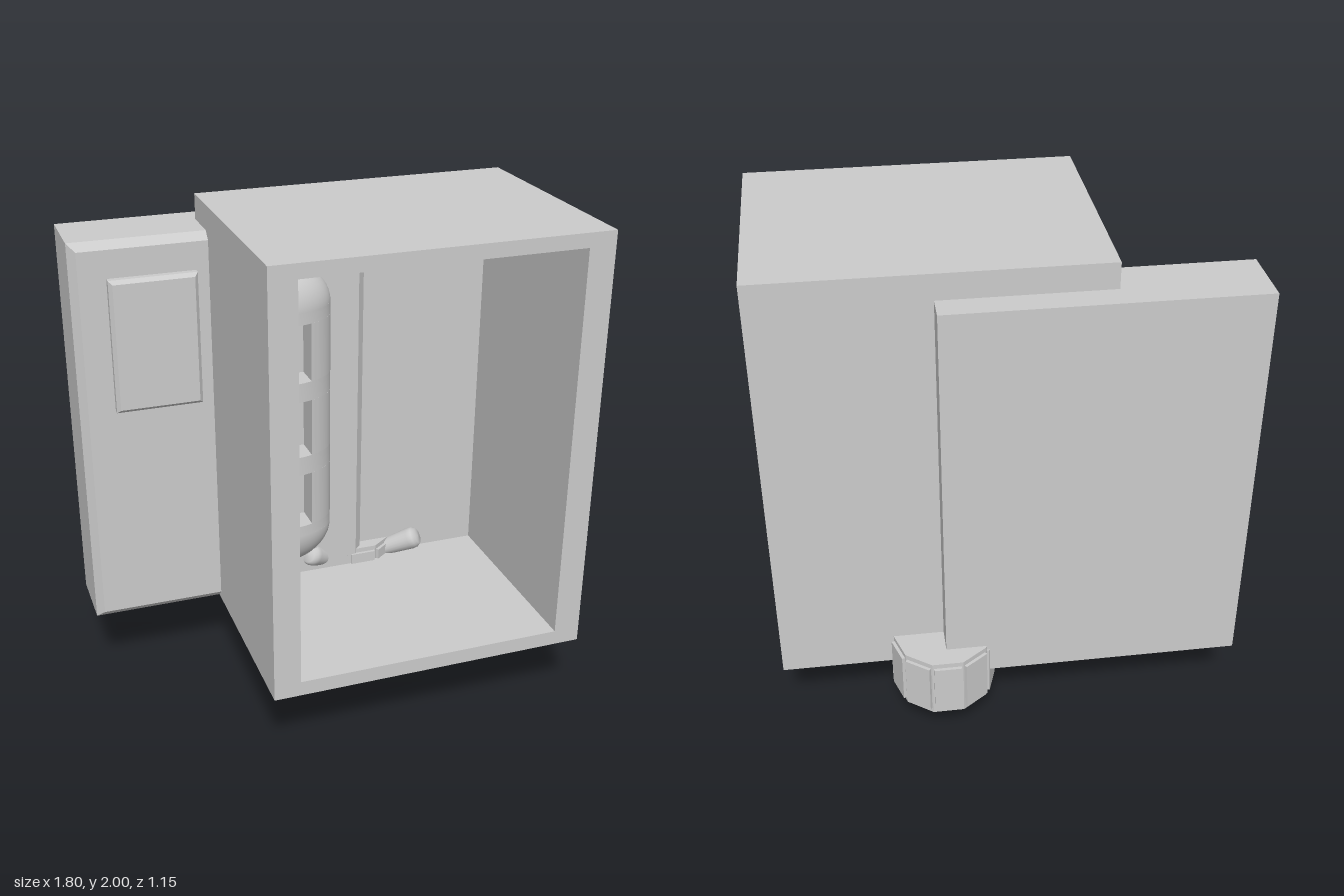
import * as THREE from 'three';
import { toCreasedNormals } from 'three/addons/utils/BufferGeometryUtils.js';

const material = new THREE.MeshStandardMaterial({ color: 0xcccccc });

function add(parent, name, geometry, x = 0, y = 0, z = 0) {
  const mesh = new THREE.Mesh(geometry, material);
  mesh.name = name;
  mesh.position.set(x, y, z);
  parent.add(mesh);
  return mesh;
}

// Box given by its limits
function block(parent, name, [x0, x1], [y0, y1], [z0, z1]) {
  return add(parent, name, new THREE.BoxGeometry(x1 - x0, y1 - y0, z1 - z0),
    (x0 + x1) / 2, (y0 + y1) / 2, (z0 + z1) / 2);
}

// Box whose front edges are chamfered between zb and z1
function chamferedSlab(parent, name, [x0, x1], [y0, y1], [z0, zb, z1], inset) {
  const w = x1 - x0, h = y1 - y0;
  const g = new THREE.BoxGeometry(w, h, 2, 1, 1, 2).toNonIndexed();
  const p = g.attributes.position;
  for (let i = 0; i < p.count; i++) {
    const z = p.getZ(i);
    if (z > 0.5) {
      p.setX(i, p.getX(i) * (1 - 2 * inset / w));
      p.setY(i, p.getY(i) * (1 - 2 * inset / h));
    }
    p.setZ(i, z > 0.5 ? z1 : z < -0.5 ? z0 : zb);
  }
  g.computeVertexNormals();
  return add(parent, name, g, (x0 + x1) / 2, (y0 + y1) / 2, 0);
}

// Rectangle path for shapes and holes
function rect(path, x0, x1, y0, y1) {
  path.moveTo(x0, y0);
  path.lineTo(x1, y0);
  path.lineTo(x1, y1);
  path.lineTo(x0, y1);
  path.closePath();
  return path;
}

// Deep open-fronted box
function makeCabinet() {
  const cabinet = new THREE.Group();
  cabinet.name = 'cabinet';
  const shape = rect(new THREE.Shape(), -0.375, 0.9, 0.305, 2);
  shape.holes.push(rect(new THREE.Path(), -0.27, 0.795, 0.365, 1.945));
  add(cabinet, 'cabinetWalls', new THREE.ExtrudeGeometry(shape, { depth: 0.825, bevelEnabled: false }), 0, 0, -0.25);
  block(cabinet, 'cabinetBack', [-0.375, 0.9], [0.305, 2], [-0.38, -0.25]);
  return cabinet;
}

// Long rounded housing with three square windows
function makeHousing() {
  const R = 0.215, D = 0.14, DOME = 0.17, LOW = 0.62, HIGH = 1.59;
  const housing = new THREE.Group();
  housing.name = 'housing';
  housing.position.set(-0.11, 0, -0.19);

  // Upright piece of the elliptical profile between xa and xb
  const band = (name, xa, xb, y0, y1) => {
    const a0 = Math.acos(xa / R), a1 = Math.acos(xb / R), n = 20;
    const pts = [];
    for (let i = 0; i <= n; i++) {
      const a = a0 + (a1 - a0) * i / n;
      pts.push(new THREE.Vector2(R * Math.cos(a), -D * Math.sin(a)));
    }
    if (xb < R) pts.push(new THREE.Vector2(xb, 0));
    if (xa > -R) pts.push(new THREE.Vector2(xa, 0));
    const g = new THREE.ExtrudeGeometry(new THREE.Shape(pts), { depth: y1 - y0, bevelEnabled: false });
    g.rotateX(-Math.PI / 2);
    add(housing, name, toCreasedNormals(g, 0.6), 0, y0, 0);
  };

  const windows = [[0.665, 0.9], [0.98, 1.22], [1.3, 1.54]];
  let y = LOW;
  for (const [y0, y1] of windows) {
    band('housingBand', -R, R, y, y0);
    band('windowLeftSide', 0.1, R, y0, y1);
    band('windowRightSide', -R, -0.1, y0, y1);
    block(housing, 'windowPane', [-0.1, 0.1], [y0, y1], [0, 0.02]);
    y = y1;
  }
  band('housingBand', -R, R, y, HIGH);

  // Rounded ends
  for (const top of [true, false]) {
    const g = new THREE.SphereGeometry(1, 28, 12, 0, Math.PI, 0, Math.PI / 2).scale(R, DOME, D);
    const dome = add(housing, top ? 'topDome' : 'bottomDome', g, 0, top ? HIGH : LOW, 0);
    if (!top) dome.rotation.z = Math.PI;
  }

  // Thin rim around the foot of the housing
  const rim = new THREE.Shape();
  rim.absellipse(0, HIGH, R + 0.02, DOME + 0.02, 0, Math.PI, false);
  rim.absellipse(0, LOW, R + 0.02, DOME + 0.02, Math.PI, 2 * Math.PI, false);
  rim.closePath();
  add(housing, 'housingRim', new THREE.ExtrudeGeometry(rim, { depth: 0.012, bevelEnabled: false, curveSegments: 8 }));
  return housing;
}

// Ten-sided knob with grip plates
function makeKnob() {
  const knob = new THREE.Group();
  knob.name = 'knob';
  knob.position.set(0.263, 0.305, -0.38);
  const core = new THREE.CylinderGeometry(0.195, 0.195, 0.25, 10).rotateY(Math.PI / 10);
  add(knob, 'knobCore', toCreasedNormals(core, 0.2));
  for (let i = 0; i < 10; i++) {
    const g = new THREE.BoxGeometry(0.108, 0.21, 0.03).translate(0, 0, 0.183);
    add(knob, 'knobGrip', g.rotateY(i * Math.PI / 5));
  }
  return knob;
}

// Hub with three forward-leaning handles
function makeHandles() {
  const wheel = new THREE.Group();
  wheel.name = 'handleWheel';
  wheel.position.set(0.263, 0.305, -0.33);
  const hub = new THREE.CylinderGeometry(0.14, 0.14, 0.08, 24).rotateX(Math.PI / 2);
  add(wheel, 'hub', toCreasedNormals(hub, 0.6), 0, 0, -0.01);
  const profile = [[0, 0], [0.03, 0], [0.033, 0.14], [0.047, 0.29], [0.045, 0.312], [0.034, 0.327], [0, 0.33]]
    .map(([r, h]) => new THREE.Vector2(r, h));
  for (let i = 0; i < 3; i++) {
    const arm = new THREE.Group();
    arm.name = 'handleArm';
    arm.rotation.z = Math.PI + i * 2 * Math.PI / 3;
    add(arm, 'handle', new THREE.LatheGeometry(profile, 20)).rotation.x = Math.atan2(0.15, 0.295);
    wheel.add(arm);
  }
  return wheel;
}

export function createModel() {
  const model = new THREE.Group();
  model.name = 'wallUnit';
  model.add(makeCabinet());
  chamferedSlab(model, 'backPlate', [-0.9, 0.26], [0.307, 1.9], [-0.485, -0.22, -0.19], 0.03);
  chamferedSlab(model, 'sidePanel', [-0.765, -0.425], [1.23, 1.76], [-0.2, -0.165, -0.15], 0.014);
  model.add(makeHousing(), makeKnob(), makeHandles());
  return model;
}
